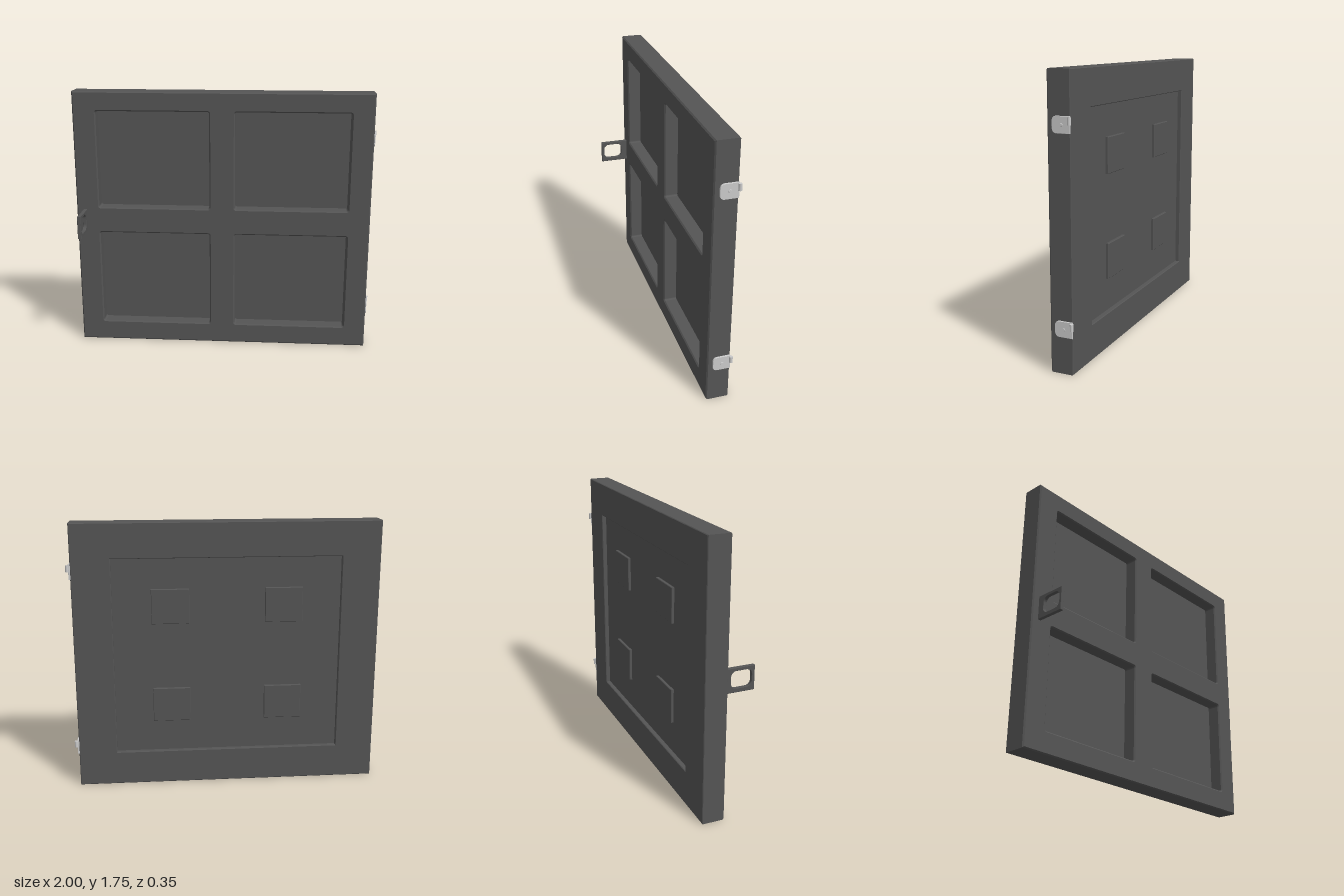
import * as THREE from 'three';

const dark = new THREE.MeshStandardMaterial({ color: 0x555555, flatShading: true });
const grey = new THREE.MeshStandardMaterial({ color: 0xcccccc });

// Door extents
const X0 = -1, X1 = 0.973, H = 1.745, Z_FRONT = -0.015, Z_BACK = -0.16;
const CX = (X0 + X1) / 2, CY = H / 2;

// Rectangle outline with corner radii (r0 at the low-x corners, r1 at the high-x corners)
function rect(path, x0, x1, y0, y1, r0 = 0, r1 = r0) {
  path.moveTo(x0 + r0, y0);
  path.lineTo(x1 - r1, y0);
  if (r1) path.absarc(x1 - r1, y0 + r1, r1, -Math.PI / 2, 0, false);
  path.lineTo(x1, y1 - r1);
  if (r1) path.absarc(x1 - r1, y1 - r1, r1, 0, Math.PI / 2, false);
  path.lineTo(x0 + r0, y1);
  if (r0) path.absarc(x0 + r0, y1 - r0, r0, Math.PI / 2, Math.PI, false);
  path.lineTo(x0, y0 + r0);
  if (r0) path.absarc(x0 + r0, y0 + r0, r0, Math.PI, Math.PI * 1.5, false);
  return path;
}

// Slab between two depths whose edges are chamfered inside its outline
function slab(shape, zBack, zFront, bevel) {
  const geo = new THREE.ExtrudeGeometry(shape, {
    depth: zFront - zBack - 2 * bevel, curveSegments: 4,
    bevelEnabled: bevel > 0, bevelThickness: bevel, bevelSize: bevel,
    bevelOffset: -bevel, bevelSegments: 1,
  });
  return geo.translate(0, 0, zBack + bevel);
}

function add(parent, name, geo, material, x = 0, y = 0, z = 0) {
  const mesh = new THREE.Mesh(geo, material);
  mesh.name = name;
  mesh.position.set(x, y, z);
  parent.add(mesh);
  return mesh;
}

export function createModel() {
  const model = new THREE.Group();
  model.name = 'cabinetDoor';

  // Front frame with four deep windows
  const front = rect(new THREE.Shape(), X0, X1, 0, H);
  for (const [x0, x1] of [[-0.847, -0.098], [0.072, 0.826]]) {
    for (const [y0, y1] of [[0.138, 0.789], [0.965, 1.617]]) {
      front.holes.push(rect(new THREE.Path(), x0, x1, y0, y1, 0.012));
    }
  }
  add(model, 'frontFrame', slab(front, -0.122, Z_FRONT, 0.008), dark);

  // Thin core panel that closes the windows
  add(model, 'corePanel', new THREE.BoxGeometry(X1 - X0, H, 0.025), dark, CX, CY, -0.1175);

  // Back frame around one shallow recess
  const back = rect(new THREE.Shape(), X0, X1, 0, H);
  back.holes.push(rect(new THREE.Path(), CX - 0.737, CX + 0.737, 0.225, 1.52));
  add(model, 'backFrame', slab(back, Z_BACK, -0.12, 0.004), dark);

  // Four raised square pads in the back recess
  for (const sx of [-1, 1]) {
    for (const sy of [-1, 1]) {
      const pad = rect(new THREE.Shape(), -0.122, 0.122, -0.113, 0.113);
      add(model, 'backPad', slab(pad, -0.148, -0.12, 0.003), dark,
        CX + sx * 0.367, CY + 0.005 + sy * 0.33, 0);
    }
  }

  // Pull handle: a flat plate with a rounded opening
  const pull = rect(new THREE.Shape(), -0.03, 0.178, 0.797, 0.95);
  pull.holes.push(rect(new THREE.Path(), 0.027, 0.16, 0.823, 0.93, 0.035));
  const pullGeo = slab(pull, 0, 0.023, 0.002).rotateY(-Math.PI / 2);
  add(model, 'handle', pullGeo, dark, -0.931, 0, 0);

  // Hinges on the side edge: leaf, screw and pin
  for (const y of [0.225, 1.395]) {
    const hinge = new THREE.Group();
    hinge.name = 'hinge';
    hinge.position.y = y;
    const leaf = rect(new THREE.Shape(), -0.161, -0.05, 0, 0.096, 0, 0.026);
    add(hinge, 'hingeLeaf', slab(leaf, 0, 0.012, 0.0015).rotateY(-Math.PI / 2), grey, 0.983);
    const screw = new THREE.CylinderGeometry(0.009, 0.011, 0.004, 16).rotateZ(-Math.PI / 2);
    add(hinge, 'hingeScrew', screw, grey, 0.984, 0.048, -0.107);
    const pin = new THREE.CylinderGeometry(0.011, 0.011, 0.042, 20);
    add(hinge, 'hingePin', pin, grey, 0.989, 0.07, -0.162);
    model.add(hinge);
  }

  return model;
}
